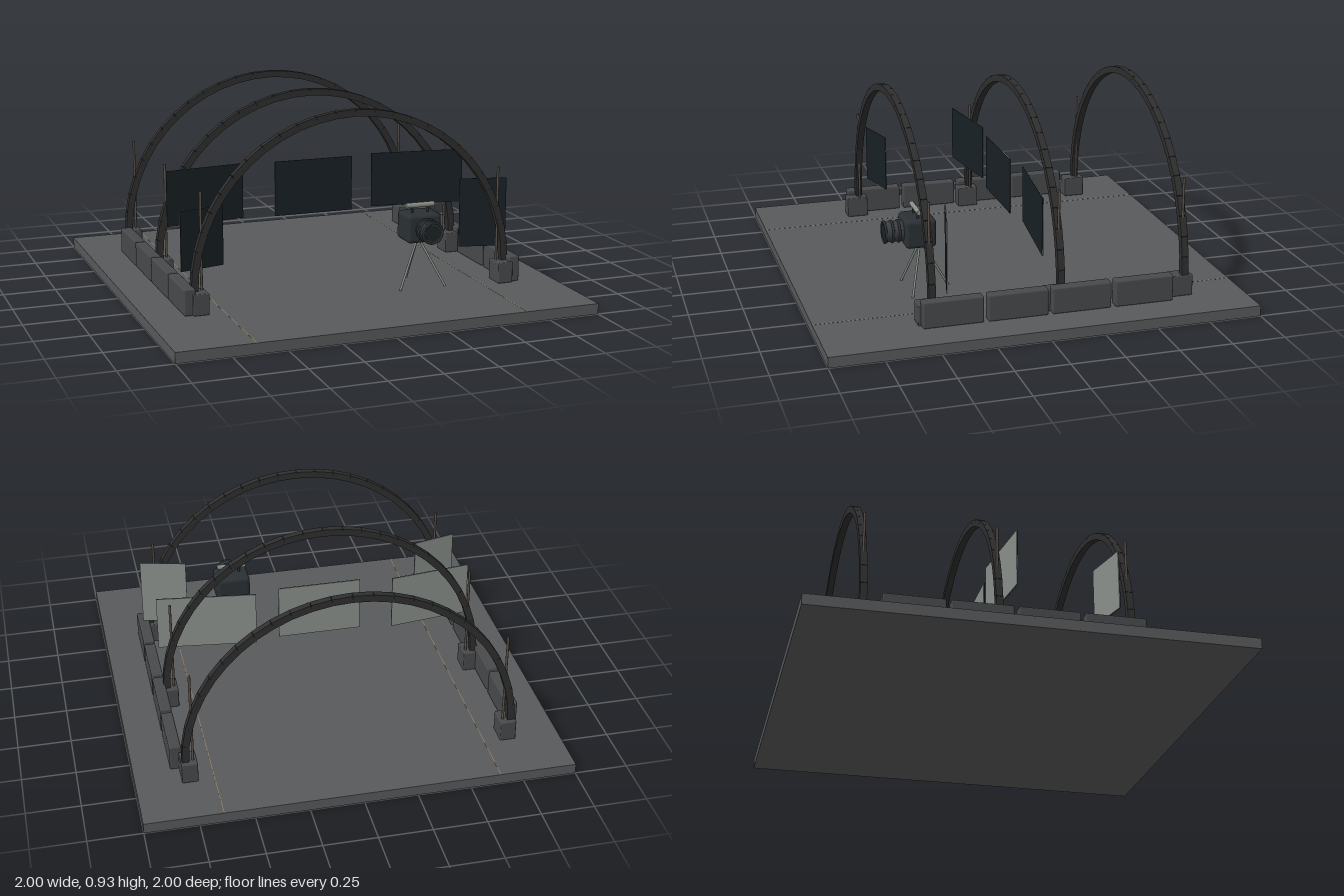
import * as THREE from 'three';
import { RoundedBoxGeometry } from 'three/addons/geometries/RoundedBoxGeometry.js';

const mat = (color) => new THREE.MeshStandardMaterial({ color });
const M = {
  floor: mat(0x58595b), stone: mat(0x48494b), arch: mat(0x2e2e2e), pole: mat(0x5a5046), stripe: mat(0x8a7860),
  screen: mat(0x182024), back: mat(0x8a908c), body: mat(0x2a3034), lens: mat(0x3c3e40), glass: mat(0x1c2226), metal: mat(0x8a8f88),
};

export function createModel() {
  const root = new THREE.Group();
  const add = (name, geo, m, x, y, z, parent = root) => {
    const mesh = new THREE.Mesh(geo, m);
    mesh.name = name;
    mesh.position.set(x, y, z);
    parent.add(mesh);
    return mesh;
  };
  const group = (name) => {
    const g = new THREE.Group();
    g.name = name;
    root.add(g);
    return g;
  };
  // Thin rod between two points
  const rod = (name, a, b, r, m, parent) => {
    const dir = b.clone().sub(a);
    const mid = a.clone().add(b).multiplyScalar(0.5);
    const mesh = add(name, new THREE.CylinderGeometry(r, r, dir.length(), 10), m, mid.x, mid.y, mid.z, parent);
    mesh.quaternion.setFromUnitVectors(new THREE.Vector3(0, 1, 0), dir.normalize());
  };

  // Floor slab with two thin stripes
  add('floor', new THREE.BoxGeometry(2, 0.05, 2), M.floor, 0, 0.025, 0);
  for (const s of [-1, 1]) add('floorStripe', new THREE.BoxGeometry(0.004, 0.001, 2), M.stripe, s * 0.64, 0.0502, 0);

  // Three arches of straight blocks, each on two pedestals with poles
  const R = 0.767, N = 26, CY = 0.143;
  const blockGeo = new THREE.BoxGeometry((R * Math.PI) / N, 0.033, 0.032);
  for (const z of [0.485, -0.115, -0.715]) {
    const arch = group('arch');
    for (let i = 0; i < N; i++) {
      const a = ((i + 0.5) / N) * Math.PI;
      const b = add('archBlock', blockGeo, M.arch, R * Math.cos(a), CY + R * Math.sin(a), z, arch);
      b.rotation.z = a + Math.PI / 2;
    }
    for (const s of [-1, 1]) {
      add('pedestal', new RoundedBoxGeometry(0.075, 0.1, 0.105, 2, 0.005), M.stone, s * 0.752, 0.1, z + 0.015, arch);
      add('pole', new THREE.CylinderGeometry(0.006, 0.006, 0.46, 10), M.pole, s * 0.732, 0.375, z, arch);
    }
  }

  // Low barriers along both sides
  for (const s of [-1, 1]) {
    for (const z of [0.4, 0.1, -0.2, -0.5]) {
      add('barrier', new RoundedBoxGeometry(0.055, 0.125, 0.28, 2, 0.008), M.stone, s * 0.802, 0.1125, z);
    }
  }

  // Hanging screens: [x0, z0, x1, z1, bottom, top]
  const screens = [
    [-0.2, -0.053, 0.2, -0.053, 0.32, 0.59],
    [-0.75, -0.027, -0.355, -0.078, 0.32, 0.59],
    [0.315, -0.08, 0.785, -0.023, 0.32, 0.59],
    [-0.81, 0.425, -0.595, 0.372, 0.225, 0.505],
    [0.587, 0.372, 0.808, 0.425, 0.2, 0.535],
  ];
  for (const [x0, z0, x1, z1, y0, y1] of screens) {
    const g = group('screen');
    const w = Math.hypot(x1 - x0, z1 - z0), h = y1 - y0;
    g.position.set((x0 + x1) / 2, (y0 + y1) / 2, (z0 + z1) / 2);
    g.rotation.y = -Math.atan2(z1 - z0, x1 - x0);
    add('screenFront', new THREE.BoxGeometry(w, h, 0.003), M.screen, 0, 0, 0.0015, g);
    add('screenBack', new THREE.BoxGeometry(w, h, 0.003), M.back, 0, 0, -0.0015, g);
  }

  // Camera on a tripod
  const cam = group('camera');
  const cx = 0.347, cy = 0.343;
  add('cameraBody', new RoundedBoxGeometry(0.168, 0.135, 0.145, 3, 0.018), M.body, cx, cy, 0.443, cam);
  const barrel = (name, r, z0, z1, m) => {
    add(name, new THREE.CylinderGeometry(r, r, z1 - z0, 32), m, cx, cy, (z0 + z1) / 2, cam).rotation.x = Math.PI / 2;
  };
  barrel('lensBarrel', 0.048, 0.5, 0.6, M.lens);
  barrel('lensGlass', 0.038, 0.59, 0.603, M.glass);
  for (const z of [0.535, 0.565, 0.6]) {
    add('lensRing', new THREE.TorusGeometry(0.049, 0.006, 8, 32), M.body, cx, cy, z, cam);
  }
  const V = (x, y, z) => new THREE.Vector3(x, y, z);
  rod('handle', V(0.275, 0.445, 0.45), V(0.418, 0.445, 0.45), 0.012, M.metal, cam);
  for (const dx of [-0.04, 0.04]) rod('handlePost', V(cx + dx, 0.4, 0.45), V(cx + dx, 0.445, 0.45), 0.006, M.body, cam);
  for (let i = 0; i < 3; i++) {
    const a = (i * 2 * Math.PI) / 3;
    rod('tripodLeg', V(cx, 0.285, 0.43), V(cx + 0.133 * Math.sin(a), 0.05, 0.43 - 0.133 * Math.cos(a)), 0.0055, M.metal, cam);
  }
  return root;
}
